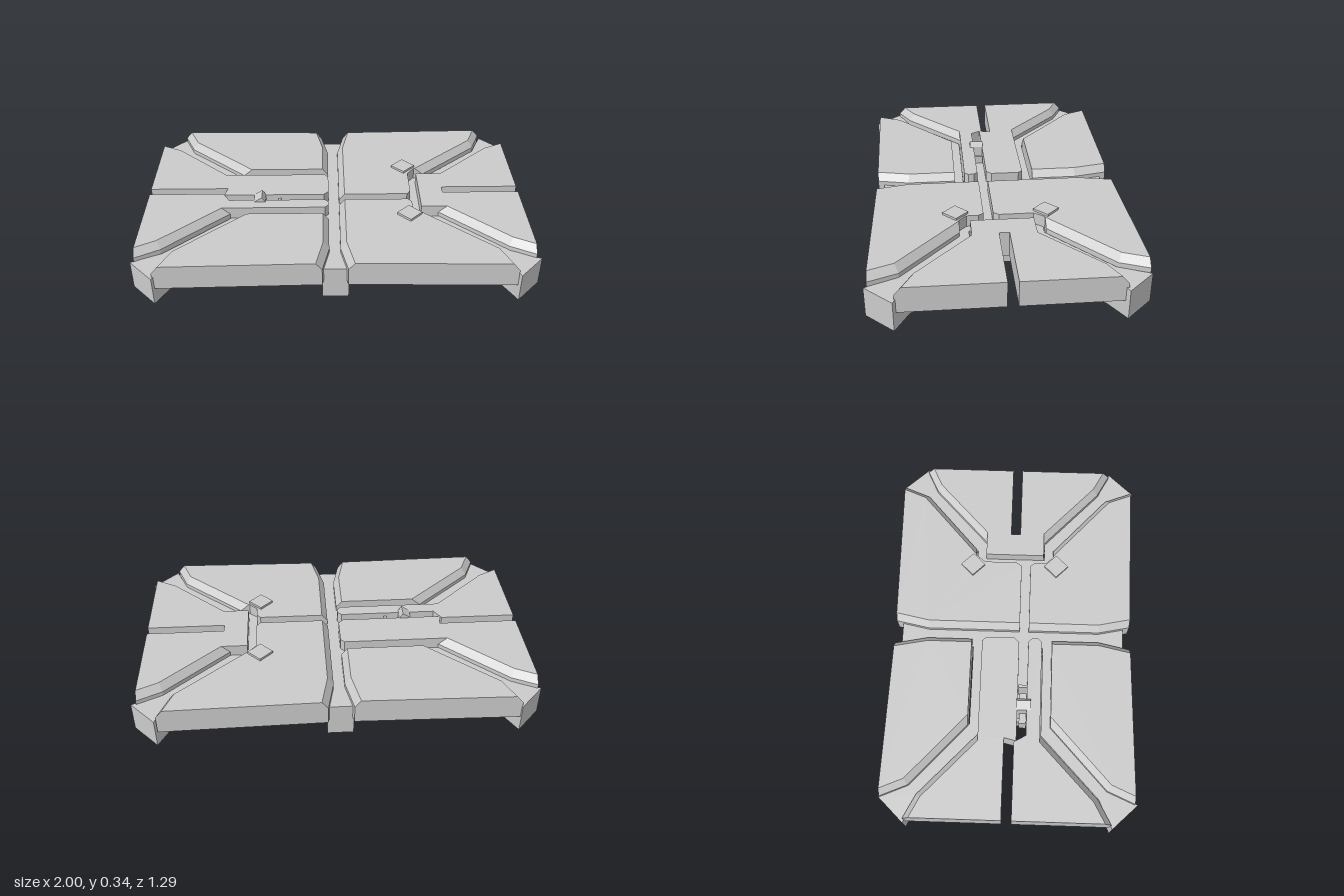
import * as THREE from 'three';

const material = new THREE.MeshStandardMaterial({ color: 0xcccccc, flatShading: true });

// Closed solid lofted through rings of [x, y, z] points, lowest ring first
function loft(name, rings) {
  const flat = rings[0].map(([x, , z]) => new THREE.Vector2(x, z));
  if (THREE.ShapeUtils.isClockWise(flat)) rings = rings.map((r) => [...r].reverse());
  const pos = [];
  const tri = (a, b, c) => pos.push(...a, ...b, ...c);
  const cap = (ring, up) => {
    const pts = ring.map(([x, , z]) => new THREE.Vector2(x, z));
    for (const [a, b, c] of THREE.ShapeUtils.triangulateShape(pts, [])) {
      if (up) tri(ring[a], ring[c], ring[b]);
      else tri(ring[a], ring[b], ring[c]);
    }
  };
  cap(rings[0], false);
  cap(rings[rings.length - 1], true);
  for (let k = 0; k + 1 < rings.length; k++) {
    const lo = rings[k], hi = rings[k + 1];
    lo.forEach((p, i) => {
      const j = (i + 1) % lo.length;
      tri(p, hi[j], lo[j]);
      tri(p, hi[i], hi[j]);
    });
  }
  const geometry = new THREE.BufferGeometry();
  geometry.setAttribute('position', new THREE.Float32BufferAttribute(pos, 3));
  geometry.computeVertexNormals();
  const mesh = new THREE.Mesh(geometry, material);
  mesh.name = name;
  return mesh;
}

// Moves the marked edges of an outline inwards; a third value of 1 marks the edge after that point
function inset(outline, d) {
  const n = outline.length;
  const area = outline.reduce((s, p, i) => {
    const q = outline[(i + 1) % n];
    return s + p[0] * q[1] - q[0] * p[1];
  }, 0);
  const lines = outline.map((p, i) => {
    const q = outline[(i + 1) % n];
    const dx = q[0] - p[0], dz = q[1] - p[1];
    const k = (Math.sign(area) * (p[2] ? d : 0)) / Math.hypot(dx, dz);
    return [p[0] - dz * k, p[1] + dx * k, dx, dz];
  });
  return lines.map(([x, z, dx, dz], i) => {
    const [px, pz, ex, ez] = lines[(i + n - 1) % n];
    const t = ((x - px) * dz - (z - pz) * dx) / (ex * dz - ez * dx);
    return [px + ex * t, pz + ez * t];
  });
}

// Deck plate with bevels along its marked groove edges
function plate(name, outline) {
  const at = (pts, y) => pts.map(([x, z]) => [x, y, z]);
  return loft(name, [at(outline, 0.18), at(outline, 0.272), at(inset(outline, 0.03), 0.31)]);
}

// Frame beam with a flat top and a bottom that rises outwards
function beam(name, outline, bottom, top = 0.25) {
  return loft(name, [
    outline.map(([x, z]) => [x, bottom(x, z), z]),
    outline.map(([x, z]) => [x, top, z]),
  ]);
}

function box(name, x0, x1, y0, y1, z0, z1) {
  const mesh = new THREE.Mesh(new THREE.BoxGeometry(x1 - x0, y1 - y0, z1 - z0), material);
  mesh.name = name;
  mesh.position.set((x0 + x1) / 2, (y0 + y1) / 2, (z0 + z1) / 2);
  return mesh;
}

// Side profile in x and y, extruded along z
function profile(name, points, z0, z1) {
  const shape = new THREE.Shape(points.map(([x, y]) => new THREE.Vector2(x, y)));
  const geometry = new THREE.ExtrudeGeometry(shape, { depth: z1 - z0, bevelEnabled: false });
  const mesh = new THREE.Mesh(geometry, material);
  mesh.name = name;
  mesh.position.z = z0;
  return mesh;
}

export function createModel() {
  const model = new THREE.Group();
  const plates = new THREE.Group();
  plates.name = 'deckPlates';
  const frame = new THREE.Group();
  frame.name = 'frame';
  model.add(plates, frame);

  // Back and front plates on the right half
  plates.add(
    plate('backRightPlate', [
      [-0.875, -0.638], [-0.07, -0.622, 1], [-0.035, -0.45, 1], [-0.035, -0.217],
      [-0.5, -0.217, 1], [-0.815, -0.5, 1],
    ]),
    plate('frontRightPlate', [
      [-0.875, 0.628], [-0.07, 0.612, 1], [-0.035, 0.45, 1], [-0.035, 0.203],
      [-0.5, 0.203, 1], [-0.815, 0.49, 1],
    ]),
    // Back and front plates on the left half, reaching in to the central spine
    plate('backLeftPlate', [
      [0.865, -0.638], [0.055, -0.622, 1], [0.02, -0.45, 1], [0.02, 0.032],
      [0.38, 0.032], [0.4, 0.005], [0.4, -0.165], [0.44, -0.217], [0.49, -0.217, 1], [0.81, -0.5, 1],
    ]),
    plate('frontLeftPlate', [
      [0.865, 0.63], [0.055, 0.612, 1], [0.02, 0.45, 1], [0.02, 0.08],
      [0.38, 0.08], [0.4, 0.105], [0.4, 0.165], [0.44, 0.203], [0.49, 0.203, 1], [0.81, 0.49, 1],
    ]),
    // Right end, split in two by the slot and the spine groove
    plate('rightEndBackPlate', [
      [-0.98, -0.03], [-0.57, -0.03], [-0.585, 0.032], [-0.06, 0.032], [-0.035, 0.005],
      [-0.035, -0.14], [-0.055, -0.162], [-0.545, -0.162, 1], [-0.86, -0.455, 1], [-0.98, -0.515],
    ]),
    plate('rightEndFrontPlate', [
      [-0.98, 0.02], [-0.59, 0.02], [-0.555, 0.08], [-0.055, 0.08], [-0.035, 0.1],
      [-0.035, 0.13], [-0.055, 0.15], [-0.545, 0.15, 1], [-0.86, 0.445, 1], [-0.98, 0.51],
    ]),
    // Left end, one piece with an open slot
    plate('leftEndPlate', [
      [0.972, -0.515], [0.972, -0.03], [0.57, -0.03], [0.57, 0.02], [0.972, 0.02], [0.972, 0.51, 1],
      [0.85, 0.445, 1], [0.535, 0.15], [0.445, 0.15], [0.445, -0.162], [0.535, -0.162, 1], [0.85, -0.455, 1],
    ]),
  );

  // Diagonal arms that widen into the corner posts
  const rise = (x, z) => {
    const r = Math.hypot(x, z);
    return r > 1.05 ? 0.1 : 0.06 + 0.03 * Math.max(0, r - 0.3);
  };
  const arm = [
    [0.4, 0.21], [0.49, 0.21], [0.812, 0.495], [0.875, 0.645], [0.998, 0.515],
    [0.855, 0.45], [0.54, 0.156], [0.4, 0.156],
  ];
  for (const sx of [1, -1]) {
    for (const sz of [1, -1]) {
      const name = (sz > 0 ? 'front' : 'back') + (sx > 0 ? 'Left' : 'Right');
      frame.add(beam(name + 'Arm', arm.map(([x, z]) => [x * sx, z * sz]), rise));
    }
  }

  // Cross beam from front to back
  const cross = [];
  for (const z of [-0.59, 0, 0.58]) cross.push([0.058, z]);
  for (const z of [0.58, 0, -0.59]) cross.push([-0.07, z]);
  frame.add(beam('crossBeam', cross, (x, z) => 0.06 + 0.035 * Math.abs(z)));

  // Twin rails on the right, single bar on the left
  for (const sz of [1, -1]) {
    const z = 0.183 * sz;
    frame.add(box(sz > 0 ? 'frontRail' : 'backRail', -0.45, 0, 0.062, 0.25, z - 0.027, z + 0.027));
  }
  frame.add(box('leftBar', 0.4, 0.446, 0.062, 0.25, -0.2, 0.2));

  // Keel under the spine, deepest near the right end
  model.add(
    profile('keel', [
      [-0.45, 0.07], [-0.37, 0.02], [-0.3, 0.003], [-0.26, 0], [0.39, 0.038], [0.41, 0.06],
      [0.45, 0.06], [0.45, 0.16], [-0.45, 0.16],
    ], 0.03, 0.102),
    box('spine', -0.28, 0.41, 0.16, 0.25, 0.032, 0.08),
  );

  // Small latch in the spine groove
  const latch = new THREE.Group();
  latch.name = 'latch';
  latch.add(
    box('latchBar', -0.48, -0.32, 0.15, 0.25, 0.042, 0.078),
    box('latchStop', -0.3, -0.285, 0.15, 0.29, 0.036, 0.08),
    profile('latchFin', [[-0.43, 0.16], [-0.36, 0.16], [-0.365, 0.31], [-0.382, 0.338], [-0.425, 0.31]], 0.028, 0.1),
  );
  model.add(latch);

  // Square pegs set diagonally through the left plates
  for (const z of [-0.23, 0.218]) {
    const peg = box(z > 0 ? 'frontPeg' : 'backPeg', 0.333, 0.423, 0.165, 0.322, z - 0.045, z + 0.045);
    peg.rotation.y = Math.PI / 4;
    model.add(peg);
  }
  return model;
}
